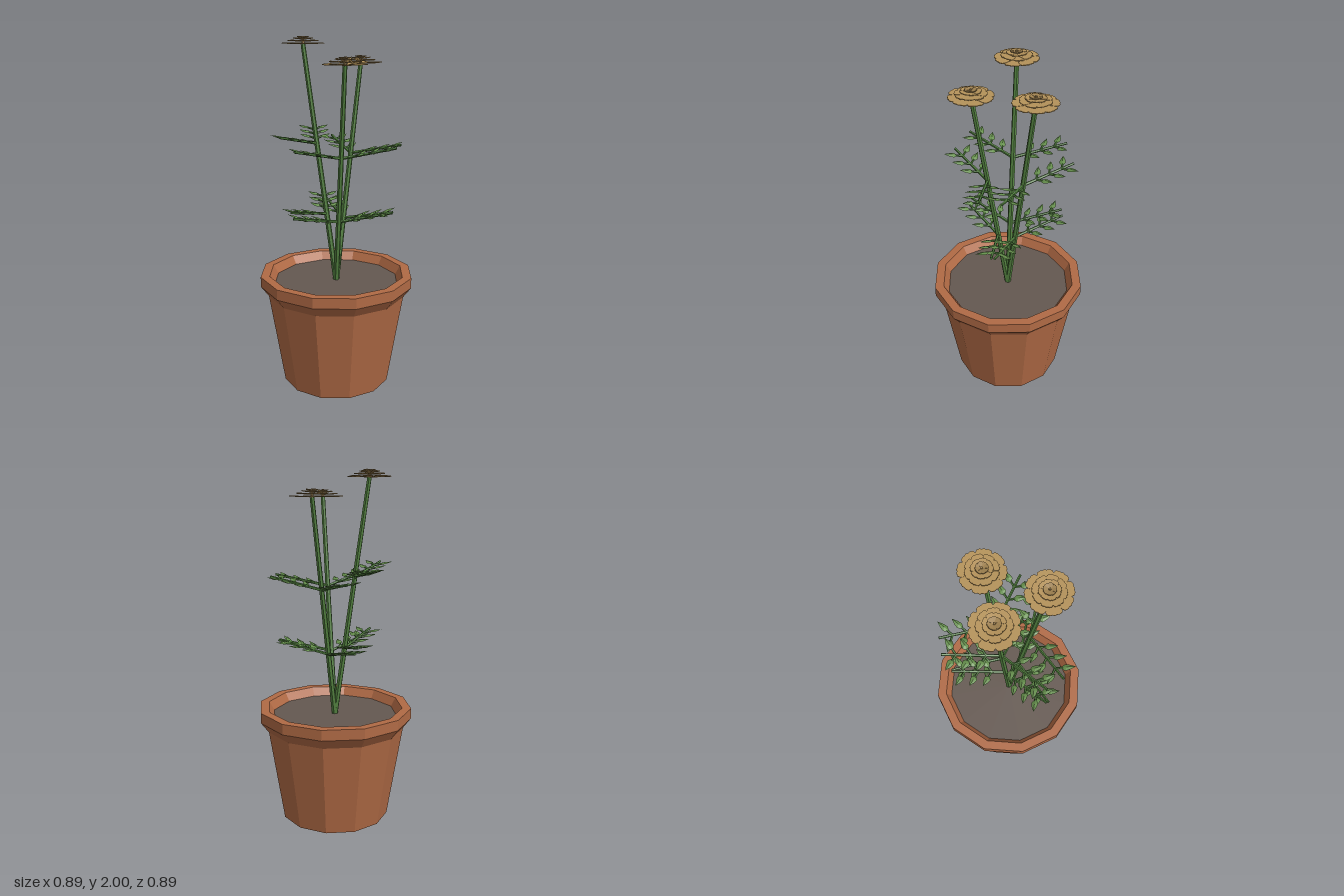
import * as THREE from 'three';
import { ConvexGeometry } from 'three/addons/geometries/ConvexGeometry.js';

const mat = (name, color, side = THREE.FrontSide) => {
  const m = new THREE.MeshStandardMaterial({ color, side, flatShading: true });
  m.name = name;
  return m;
};

export function createModel() {
  const model = new THREE.Group();
  model.name = 'pottedFlowers';

  const terracotta = mat('terracotta', 0xb06a45);
  const soilBrown = mat('soilBrown', 0x645850);
  const stemGreen = mat('stemGreen', 0x52803f);
  const leafGreen = mat('leafGreen', 0x658f4c);
  const petalGold = mat('petalGold', 0xb5935a);
  const heartGold = mat('heartGold', 0xa08250);

  const add = (parent, name, geo, material) => {
    const mesh = new THREE.Mesh(geo, material);
    mesh.name = name;
    parent.add(mesh);
    return mesh;
  };
  const group = (parent, name) => {
    const g = new THREE.Group();
    g.name = name;
    parent.add(g);
    return g;
  };

  // Twelve-sided pot with a thick rim
  const profile = [[0, 0], [0.315, 0], [0.402, 0.54], [0.447, 0.6], [0.447, 0.66], [0.395, 0.66], [0.36, 0.6]];
  add(model, 'pot', new THREE.LatheGeometry(profile.map(p => new THREE.Vector2(...p)), 12), terracotta);
  const soil = add(model, 'soil', new THREE.CircleGeometry(0.365, 12), soilBrown);
  soil.rotation.x = -Math.PI / 2;
  soil.position.y = 0.61;

  // Leaflet blade along +x, a thin faceted kite
  const blade = new ConvexGeometry([
    [0.024, 0, 0], [0.05, 0, 0.019], [0.05, 0, -0.019], [0.075, 0, 0.014], [0.075, 0, -0.014],
    [0.106, 0.002, 0], [0.06, 0.006, 0], [0.06, -0.006, 0],
  ].map(p => new THREE.Vector3(...p)));
  const rod = (r0, r1, length, sides) =>
    new THREE.CylinderGeometry(r1, r0, length, sides).rotateZ(-Math.PI / 2).translate(length / 2, 0, 0);
  const twig = rod(0.009, 0.007, 0.31, 5);
  const petiole = rod(0.007, 0.006, 0.04, 5);

  // Frond: a twig with three pairs of leaflets
  const frond = (parent) => {
    const f = group(parent, 'frond');
    add(f, 'twig', twig, stemGreen);
    for (const s of [0.08, 0.157, 0.235]) {
      for (const side of [-1, 1]) {
        const leaflet = group(f, 'leaflet');
        leaflet.position.x = s;
        leaflet.rotation.set(0, side * 1.0, 0.06);
        add(leaflet, 'petiole', petiole, stemGreen);
        add(leaflet, 'blade', blade, leafGreen);
      }
    }
    return f;
  };

  // Broad petal along +x with a slightly ragged tip, unit length
  const petalGeo = (R) => {
    const outline = [[0, -0.03], [0.45, -0.21], [0.78, -0.33], [0.91, -0.3], [0.97, -0.18], [0.96, -0.08], [1, 0],
      [0.96, 0.08], [0.97, 0.18], [0.91, 0.3], [0.78, 0.33], [0.45, 0.21], [0, 0.03]];
    const shape = new THREE.Shape(outline.map(([x, y]) => new THREE.Vector2(x * R, y * R)));
    return new THREE.ExtrudeGeometry(shape, { depth: 0.004, bevelEnabled: false }).rotateX(-Math.PI / 2);
  };
  // Petal rings: radius, height, upward tilt, material
  const rings = [
    [0.12, 0, 0.03, petalGold],
    [0.085, 0.013, 0.06, petalGold],
    [0.056, 0.024, 0.12, petalGold],
    [0.034, 0.031, 0.22, heartGold],
  ].map(([R, y, tilt, material]) => ({ geo: petalGeo(R), y, tilt, material }));

  const flower = (parent) => {
    const f = group(parent, 'flower');
    rings.forEach(({ geo, y, tilt, material }, i) => {
      for (let k = 0; k < 8; k++) {
        const p = add(f, 'petal', geo, material);
        p.position.y = y + (k % 2) * 0.0015;
        p.rotation.set(0, ((k + (i % 2) * 0.5) * Math.PI) / 4, tilt);
      }
    });
    const heart = add(f, 'heart', new THREE.CylinderGeometry(0.006, 0.008, 0.045, 6), heartGold);
    heart.position.y = 0.022;
    return f;
  };

  // Three leaning stems, the one at the back right taller
  const base = new THREE.Vector3(0, 0.6, 0);
  [[0, 1.85], [(2 * Math.PI) / 3, 1.85], [(-2 * Math.PI) / 3, 1.955]].forEach(([azimuth, height]) => {
    const plant = group(model, 'floweringStem');
    const top = new THREE.Vector3(0.19 * Math.cos(azimuth), height, 0.19 * Math.sin(azimuth));
    const dir = top.clone().sub(base);
    const stem = add(plant, 'stem', new THREE.CylinderGeometry(0.013, 0.017, dir.length(), 6), stemGreen);
    stem.position.copy(base).addScaledVector(dir, 0.5);
    stem.quaternion.setFromUnitVectors(new THREE.Vector3(0, 1, 0), dir.clone().normalize());

    // Two levels of fronds, one to each side
    for (const t of [0.3, 0.6]) {
      for (const side of [-1, 1]) {
        const f = frond(plant);
        f.position.copy(base).addScaledVector(dir, t);
        f.rotation.set(0, -(azimuth + side * 1.18), 0.21);
      }
    }
    const head = flower(plant);
    head.position.copy(top);
    head.rotation.y = -azimuth;
  });

  return model;
}
